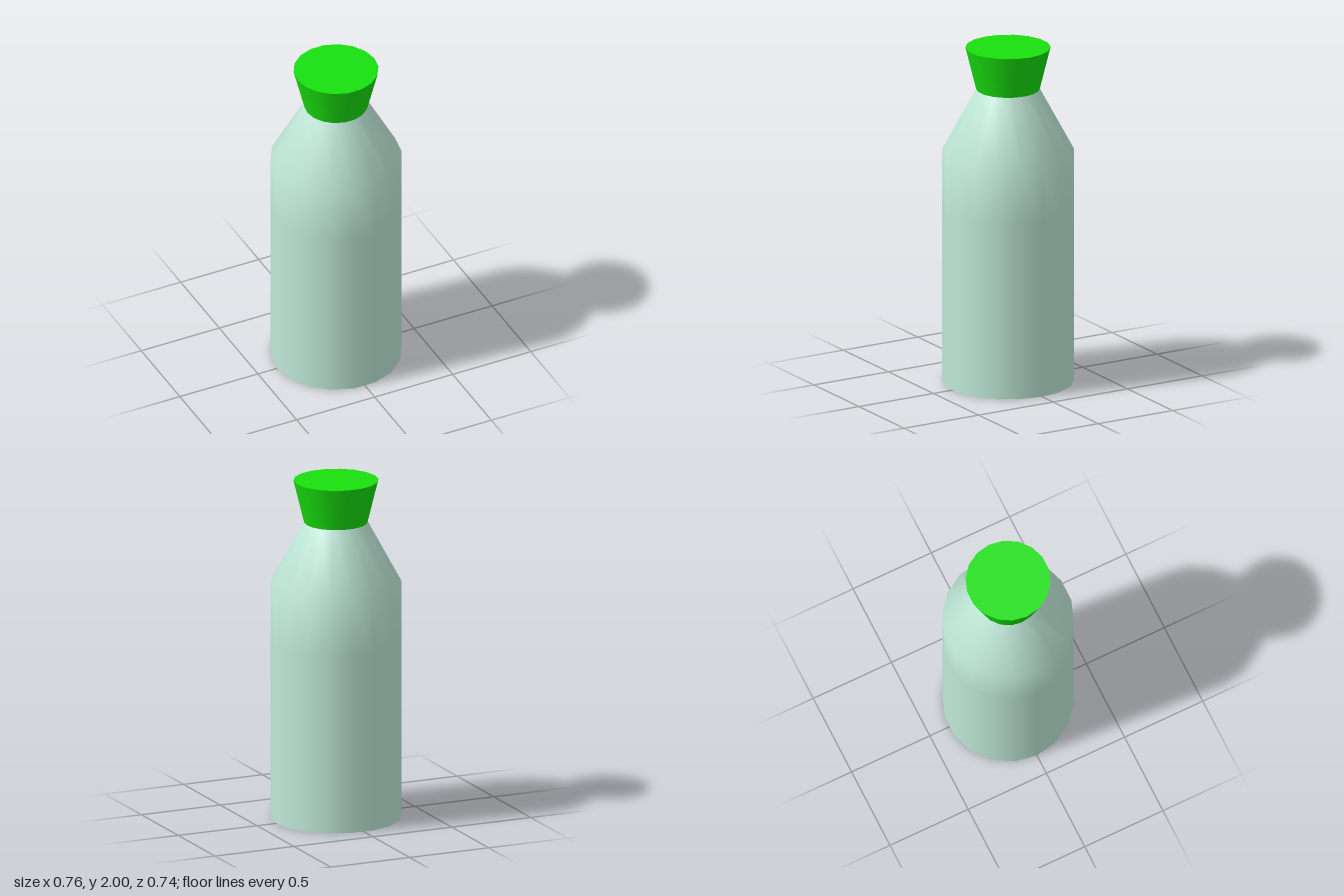
import * as THREE from 'three';

const SIDES = 18;

function material(color) {
  return new THREE.MeshStandardMaterial({ color });
}

// Flat disc whose corners line up with the x axis
function disc(radius, y, up, mat, name) {
  const mesh = new THREE.Mesh(new THREE.CircleGeometry(radius, SIDES), mat);
  mesh.rotation.x = up ? -Math.PI / 2 : Math.PI / 2;
  mesh.position.y = y;
  mesh.name = name;
  return mesh;
}

// Smooth turned wall from [radius, y] pairs, listed bottom to top
function wall(profile, mat, name) {
  const points = profile.map(([r, y]) => new THREE.Vector2(r, y));
  const mesh = new THREE.Mesh(new THREE.LatheGeometry(points, SIDES, Math.PI / 2), mat);
  mesh.name = name;
  return mesh;
}

function part(name, ...meshes) {
  const group = new THREE.Group();
  group.name = name;
  group.add(...meshes);
  return group;
}

export function createModel() {
  const glass = material(0xbfe8d8);
  const green = material(0x18e00e);
  const blue = material(0x5068b8);

  const model = new THREE.Group();
  model.name = 'bottle';
  model.add(
    // Straight body with a sloping shoulder
    part('glassBody',
      wall([[0.378, 0], [0.378, 1.05], [0.378, 1.39], [0.183, 1.75]], glass, 'bodyWall'),
      disc(0.378, 0, false, glass, 'base')),
    // Contents, just inside the glass
    part('liquid',
      wall([[0.365, 0.01], [0.365, 1.05]], blue, 'liquidSide'),
      disc(0.365, 0.01, false, blue, 'liquidBottom'),
      disc(0.365, 1.05, true, blue, 'liquidSurface')),
    // Flared stopper
    part('stopper',
      wall([[0.183, 1.75], [0.245, 2]], green, 'stopperSide'),
      disc(0.183, 1.75, false, green, 'stopperBottom'),
      disc(0.245, 2, true, green, 'stopperTop')),
  );
  return model;
}
